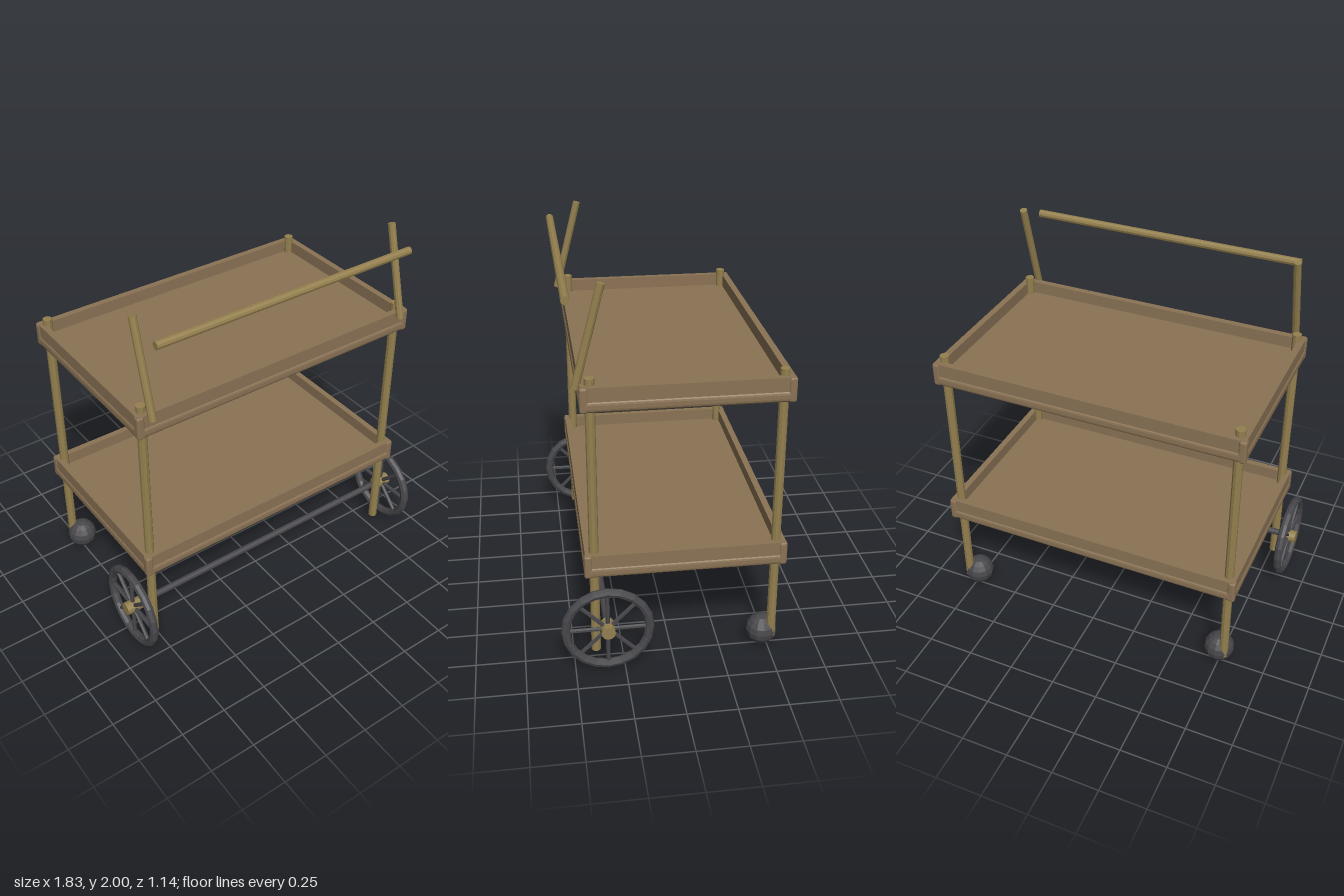
import * as THREE from 'three';
import { RoundedBoxGeometry } from 'three/addons/geometries/RoundedBoxGeometry.js';

const wood = new THREE.MeshStandardMaterial({ color: 0x8b7355 });
const brass = new THREE.MeshStandardMaterial({ color: 0x94804f });
const dark = new THREE.MeshStandardMaterial({ color: 0x48484c });
for (const m of [wood, brass, dark]) m.flatShading = true;

const UP = new THREE.Vector3(0, 1, 0);

function add(parent, name, geometry, material, x, y, z) {
  const mesh = new THREE.Mesh(geometry, material);
  mesh.name = name;
  mesh.position.set(x, y, z);
  parent.add(mesh);
  return mesh;
}

// Round bar between two points
function rod(parent, name, a, b, radius, material, sides = 10) {
  const from = new THREE.Vector3(...a), to = new THREE.Vector3(...b);
  const dir = to.clone().sub(from);
  const mid = from.clone().add(to).multiplyScalar(0.5);
  const mesh = add(parent, name, new THREE.CylinderGeometry(radius, radius, dir.length(), sides), material, mid.x, mid.y, mid.z);
  mesh.quaternion.setFromUnitVectors(UP, dir.normalize());
  return mesh;
}

// Shallow tray: rounded base, four recessed walls, corner blocks
function makeTray(name, bottom, height) {
  const tray = new THREE.Group();
  tray.name = name;
  const w = 0.826, d = 0.504, t = 0.04, base = 0.06;
  add(tray, 'trayBase', new RoundedBoxGeometry(2 * w, base, 2 * d, 2, 0.02), wood, 0, base / 2, 0);
  const wallH = height - 0.03, wallY = 0.03 + wallH / 2;
  for (const s of [-1, 1]) {
    add(tray, 'longWall', new THREE.BoxGeometry(2 * w - 0.02, wallH, t - 0.006), wood, 0, wallY, s * (d - t / 2 - 0.003));
    add(tray, 'endWall', new THREE.BoxGeometry(t - 0.006, wallH, 2 * d - 0.02), wood, s * (w - t / 2 - 0.003), wallY, 0);
    for (const e of [-1, 1]) {
      add(tray, 'trayCorner', new RoundedBoxGeometry(t, height, t, 2, 0.012), wood, s * (w - t / 2), height / 2, e * (d - t / 2));
    }
  }
  tray.position.set(0, bottom, -0.063);
  return tray;
}

// Spoked wheel turning about the x axis
function makeWheel(side) {
  const wheel = new THREE.Group();
  wheel.name = side > 0 ? 'leftWheel' : 'rightWheel';
  const tyre = add(wheel, 'tyre', new THREE.TorusGeometry(0.21, 0.023, 8, 20), dark, 0, 0, 0);
  tyre.rotation.y = Math.PI / 2;
  rod(wheel, 'hub', [-0.045, 0, 0], [0.045, 0, 0], 0.035, brass, 12);
  for (let i = 0; i < 8; i++) {
    const a = i * Math.PI / 4;
    rod(wheel, 'spoke', [0, 0, 0], [0, 0.21 * Math.cos(a), 0.21 * Math.sin(a)], 0.011, dark, 6);
  }
  wheel.position.set(side * 0.868, 0.253, 0.336);
  return wheel;
}

export function createModel() {
  const cart = new THREE.Group();
  cart.name = 'servingCart';

  cart.add(makeTray('lowerTray', 0.52, 0.125), makeTray('upperTray', 1.403, 0.125));

  for (const s of [-1, 1]) {
    // Corner posts
    rod(cart, 'frontPost', [s * 0.778, 0.07, 0.39], [s * 0.778, 1.56, 0.39], 0.024, brass);
    rod(cart, 'backPost', [s * 0.778, 0.07, -0.515], [s * 0.778, 1.56, -0.515], 0.024, brass);
    // Leaning handle arms
    rod(cart, 'handleArm', [s * 0.755, 1.503, 0.455], [s * 0.755, 1.995, 0.327], 0.02, brass);
    // Rear casters
    add(cart, 'caster', new THREE.SphereGeometry(0.081, 12, 8), dark, s * 0.74, 0.085, -0.475);
    cart.add(makeWheel(s));
  }

  rod(cart, 'handleBar', [-0.738, 1.915, 0.483], [0.738, 1.915, 0.483], 0.021, brass);
  rod(cart, 'axle', [-0.84, 0.253, 0.336], [0.84, 0.253, 0.336], 0.018, dark);
  return cart;
}
